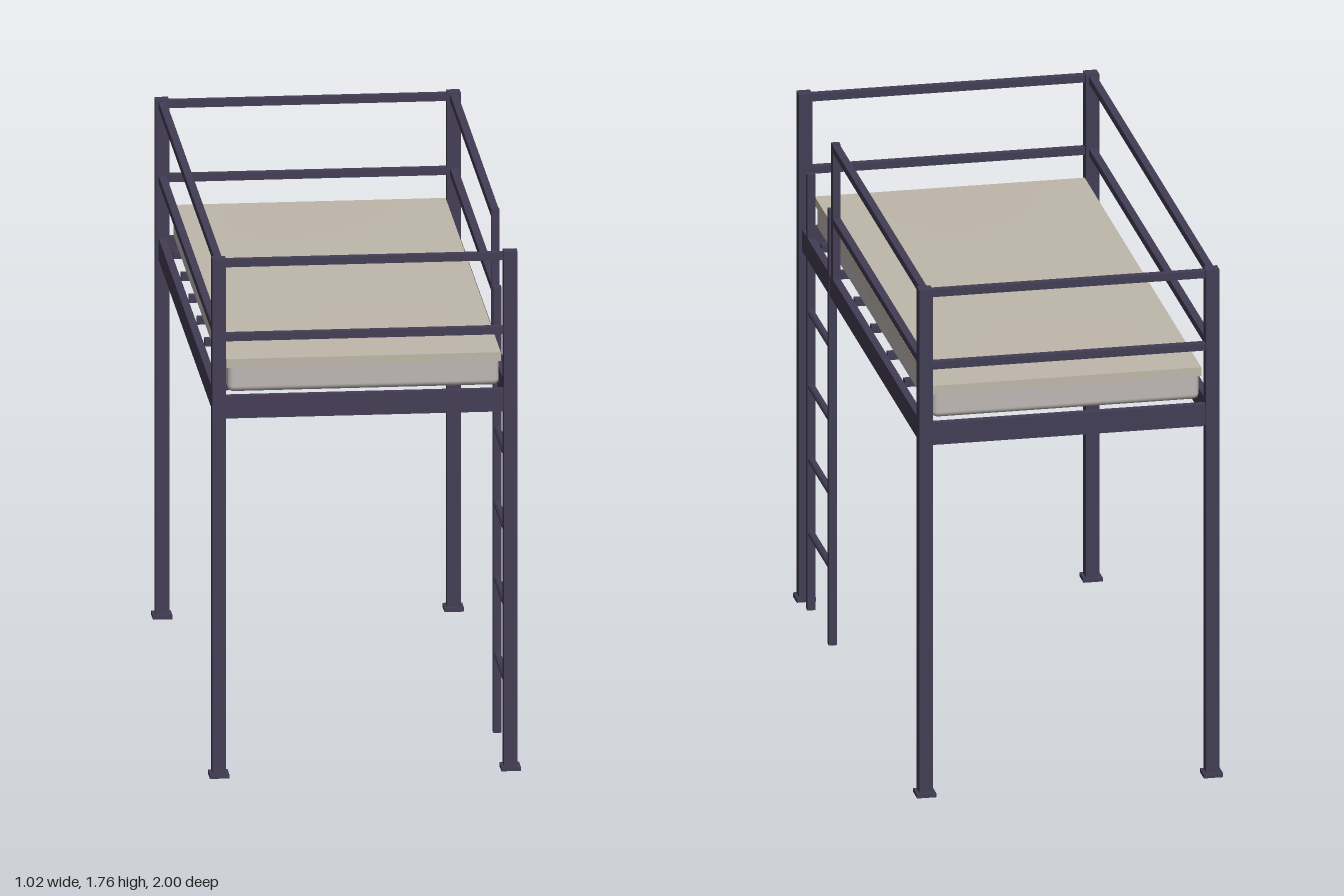
import * as THREE from 'three';
import { RoundedBoxGeometry } from 'three/addons/geometries/RoundedBoxGeometry.js';

const metal = new THREE.MeshStandardMaterial({ color: 0x423d54 });
const cloth = new THREE.MeshStandardMaterial({ color: 0xbfb7aa });
const ticking = new THREE.MeshStandardMaterial({ color: 0xbdb7b5 });

const PX = 0.478, PZ = 0.968; // post centres
const TOP = 1.757, POST = 0.045, TUBE = 0.025;
const INX = PX - POST / 2, INZ = PZ - POST / 2; // inner faces of the posts

export function createModel() {
  const model = new THREE.Group();
  const add = (name, geometry, material, x, y, z, parent = model) => {
    const mesh = new THREE.Mesh(geometry, material);
    mesh.name = name;
    mesh.position.set(x, y, z);
    parent.add(mesh);
    return mesh;
  };
  // Metal box given by its minimum and maximum on each axis
  const bar = (name, [x0, x1], [y0, y1], [z0, z1], parent) =>
    add(name, new THREE.BoxGeometry(x1 - x0, y1 - y0, z1 - z0), metal,
      (x0 + x1) / 2, (y0 + y1) / 2, (z0 + z1) / 2, parent);
  const around = (c, w = TUBE) => [c - w / 2, c + w / 2];

  const beamY = [1.215, 1.29], midY = around(1.489), topY = around(1.74);
  const guardZ = 0.462;

  // Corner posts on foot plates
  for (const sx of [-1, 1]) for (const sz of [-1, 1]) {
    bar('cornerPost', around(sx * PX, POST), [0, TOP], around(sz * PZ, POST));
    bar('footPlate', around(sx * PX, 0.064), [0, 0.014], around(sz * PZ, 0.064));
  }

  // End beams and end guard rails
  for (const sz of [-1, 1]) {
    bar('endBeam', [-INX, INX], beamY, around(sz * PZ));
    for (const y of [midY, topY]) bar('endGuardRail', [-INX, INX], y, around(sz * PZ));
  }

  // Side beams and side guard rails; the left side stops short for the ladder
  for (const sx of [-1, 1]) {
    bar('sideBeam', around(sx * PX), beamY, [-INZ, INZ]);
    for (const y of [midY, topY])
      bar('sideGuardRail', around(sx * PX), y, [-INZ, sx > 0 ? guardZ : INZ]);
  }
  bar('guardPost', around(PX, 0.026), [1.29, TOP], around(guardZ, 0.026));

  // Slats under the mattress
  for (let i = -3; i <= 3; i++)
    bar('slat', [-0.457, 0.457], [1.263, 1.288], around(i * 0.266));

  // Ladder
  const ladder = new THREE.Group();
  ladder.name = 'ladder';
  model.add(ladder);
  const ladderZ = [0.521, 0.868];
  for (const z of ladderZ)
    bar('ladderRail', around(PX, 0.027), [0, 1.51], around(z, 0.026), ladder);
  for (let i = 0; i < 4; i++) {
    const rung = add('rung', new THREE.CylinderGeometry(0.012, 0.012, ladderZ[1] - ladderZ[0], 12),
      metal, PX, 0.265 + i * 0.255, (ladderZ[0] + ladderZ[1]) / 2, ladder);
    rung.rotation.x = Math.PI / 2;
  }

  // Mattress with rounded edges
  add('mattress', new RoundedBoxGeometry(0.89, 0.112, 1.87, 4, 0.02), ticking, 0, 1.346, 0);

  // Cover sheet, slightly crowned on top
  const cover = new THREE.BoxGeometry(0.9, 0.03, 1.876, 10, 1, 20);
  const p = cover.attributes.position;
  for (let i = 0; i < p.count; i++) {
    if (p.getY(i) < 0) continue;
    const u = p.getX(i) / 0.45, v = p.getZ(i) / 0.938;
    p.setY(i, p.getY(i) + 0.007 * (1 - u * u) * (1 - v * v));
  }
  cover.computeVertexNormals();
  add('coverSheet', cover, cloth, 0, 1.389, 0);

  return model;
}
